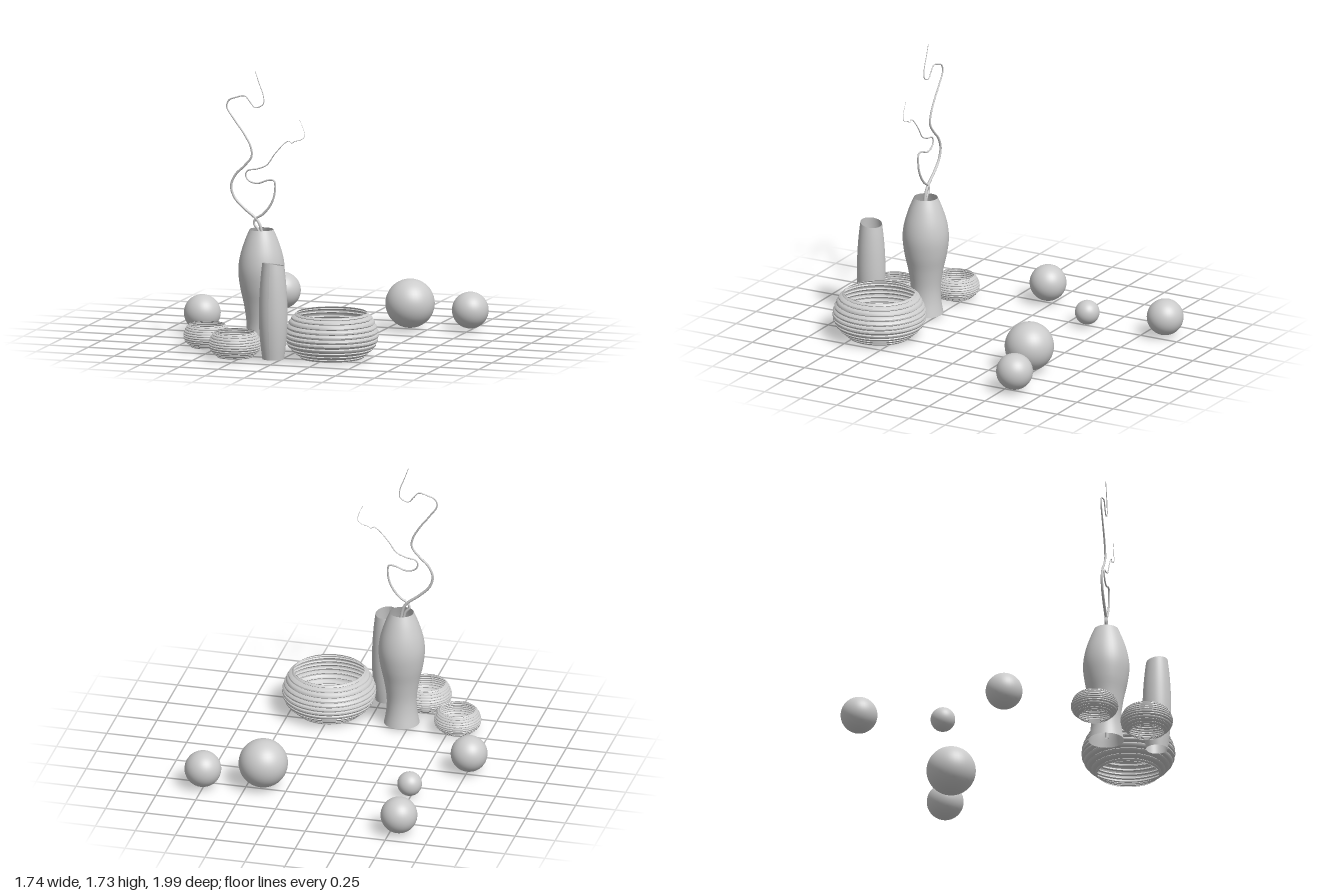
import * as THREE from 'three';
import { toCreasedNormals } from 'three/addons/utils/BufferGeometryUtils.js';

const solid = new THREE.MeshStandardMaterial({ color: 0xcccccc });
const shell = new THREE.MeshStandardMaterial({ color: 0xcccccc, side: THREE.DoubleSide });

function addMesh(group, name, geometry, material, x, y, z) {
  const mesh = new THREE.Mesh(geometry, material);
  mesh.name = name;
  mesh.position.set(x, y, z);
  group.add(mesh);
  return mesh;
}

// Smooth curve through [radius, height] pairs
const profileCurve = (pairs) => new THREE.SplineCurve(pairs.map(([r, y]) => new THREE.Vector2(r, y)));

// Open-ended bowl of stacked ribs: each rib bulges out, with a narrow groove between
function ribbedBowl() {
  const curve = profileCurve([[0.188, 0], [0.222, 0.03], [0.262, 0.068], [0.283, 0.115],
    [0.284, 0.16], [0.27, 0.205], [0.247, 0.25], [0.214, 0.28]]);
  const ribs = 11, points = [];
  for (let i = 0; i < ribs; i++) {
    for (const [t, inset] of [[0, 0.013], [0.2, 0.003], [0.5, 0], [0.8, 0.003]]) {
      const p = curve.getPoint((i + t) / ribs);
      points.push(new THREE.Vector2(p.x - (i === 0 && t === 0 ? 0 : inset), p.y));
    }
  }
  points.push(curve.getPoint(1));
  return toCreasedNormals(new THREE.LatheGeometry(points, 64), 0.6);
}

// Open-ended smooth vase
const vase = (pairs) => new THREE.LatheGeometry(profileCurve(pairs).getPoints(32), 40);

// Tube along a flat path of [x, y] points, thinning from base to tip
function branch(pairs, baseRadius, tipRadius) {
  const curve = new THREE.CatmullRomCurve3(pairs.map(([x, y]) => new THREE.Vector3(x, y, 0)));
  const steps = 200, sides = 8;
  const geometry = new THREE.TubeGeometry(curve, steps, 1, sides);
  const pos = geometry.attributes.position, v = new THREE.Vector3();
  for (let i = 0; i <= steps; i++) {
    const centre = curve.getPointAt(i / steps);
    const radius = THREE.MathUtils.lerp(baseRadius, tipRadius, i / steps);
    for (let j = 0; j <= sides; j++) {
      const k = i * (sides + 1) + j;
      v.fromBufferAttribute(pos, k).sub(centre).multiplyScalar(radius).add(centre);
      pos.setXYZ(k, v.x, v.y, v.z);
    }
  }
  return geometry;
}

export function createModel() {
  const model = new THREE.Group();
  model.name = 'vaseArrangement';

  // Scattered balls: x, y, z, radius
  [[-0.76, 0.125, 0.035, 0.112], [-0.558, 0.125, -0.888, 0.112], [-0.495, 0.088, -0.383, 0.075],
    [0.398, 0.163, -0.475, 0.15], [0.752, 0.125, -0.568, 0.112]].forEach(([x, y, z, r], i) => {
    addMesh(model, `ball${i + 1}`, new THREE.SphereGeometry(r, 40, 24), solid, x, y, z);
  });

  // Ribbed bowls: one shape at three sizes
  const bowl = ribbedBowl();
  [['largeBowl', 0.27, 0, 0.634, 1], ['frontBowl', -0.283, 0.008, 0.835, 0.56],
    ['sideBowl', -0.554, 0.01, 0.558, 0.505]].forEach(([name, x, y, z, s]) => {
    addMesh(model, name, bowl, shell, x, y, z).scale.setScalar(s);
  });

  // Tall waisted vase
  addMesh(model, 'tallVase', vase([[0.108, 0.015], [0.094, 0.1], [0.092, 0.19], [0.108, 0.3],
    [0.13, 0.4], [0.141, 0.5], [0.131, 0.59], [0.104, 0.68], [0.073, 0.755]]), shell, -0.2, 0, 0.573);

  // Slim vase with a slanted rim
  const slim = vase([[0.066, 0.013], [0.077, 0.1], [0.085, 0.2], [0.087, 0.3],
    [0.083, 0.42], [0.075, 0.52], [0.066, 0.595]]);
  const pos = slim.attributes.position;
  for (let i = 0; i < pos.count; i++) {
    const y = pos.getY(i), lift = Math.max(0, (y - 0.013) / 0.582) ** 2;
    pos.setY(i, y + lift * (0.16 * pos.getZ(i) - 0.1 * pos.getX(i)));
  }
  slim.computeVertexNormals();
  addMesh(model, 'slimVase', slim, shell, -0.03, 0, 0.857);

  // Two curling branches standing in the tall vase
  const tallBranch = [[-0.195, 0.03], [-0.185, 0.4], [-0.2, 0.75], [-0.226, 0.81], [-0.31, 0.88],
    [-0.372, 0.944], [-0.393, 1.014], [-0.365, 1.084], [-0.309, 1.14], [-0.263, 1.2], [-0.267, 1.256],
    [-0.309, 1.335], [-0.374, 1.423], [-0.421, 1.498], [-0.407, 1.54], [-0.365, 1.558],
    [-0.305, 1.57], [-0.272, 1.535], [-0.24, 1.502], [-0.188, 1.526], [-0.188, 1.581],
    [-0.212, 1.647], [-0.24, 1.726]];
  const shortBranch = [[-0.2, 0.03], [-0.2, 0.4], [-0.218, 0.745], [-0.247, 0.79], [-0.235, 0.819],
    [-0.188, 0.851], [-0.137, 0.916], [-0.114, 0.986], [-0.119, 1.058], [-0.156, 1.06],
    [-0.226, 1.037], [-0.281, 1.051], [-0.3, 1.084], [-0.288, 1.112], [-0.226, 1.126],
    [-0.165, 1.153], [-0.114, 1.223], [-0.044, 1.298], [-0.021, 1.307], [-0.007, 1.295],
    [0.012, 1.307], [0.058, 1.321], [0.077, 1.344], [0.067, 1.391], [0.044, 1.442]];
  addMesh(model, 'tallBranch', branch(tallBranch, 0.013, 0.002), shell, 0, 0, 0.577);
  addMesh(model, 'shortBranch', branch(shortBranch, 0.012, 0.001), shell, 0, 0, 0.577);

  return model;
}
